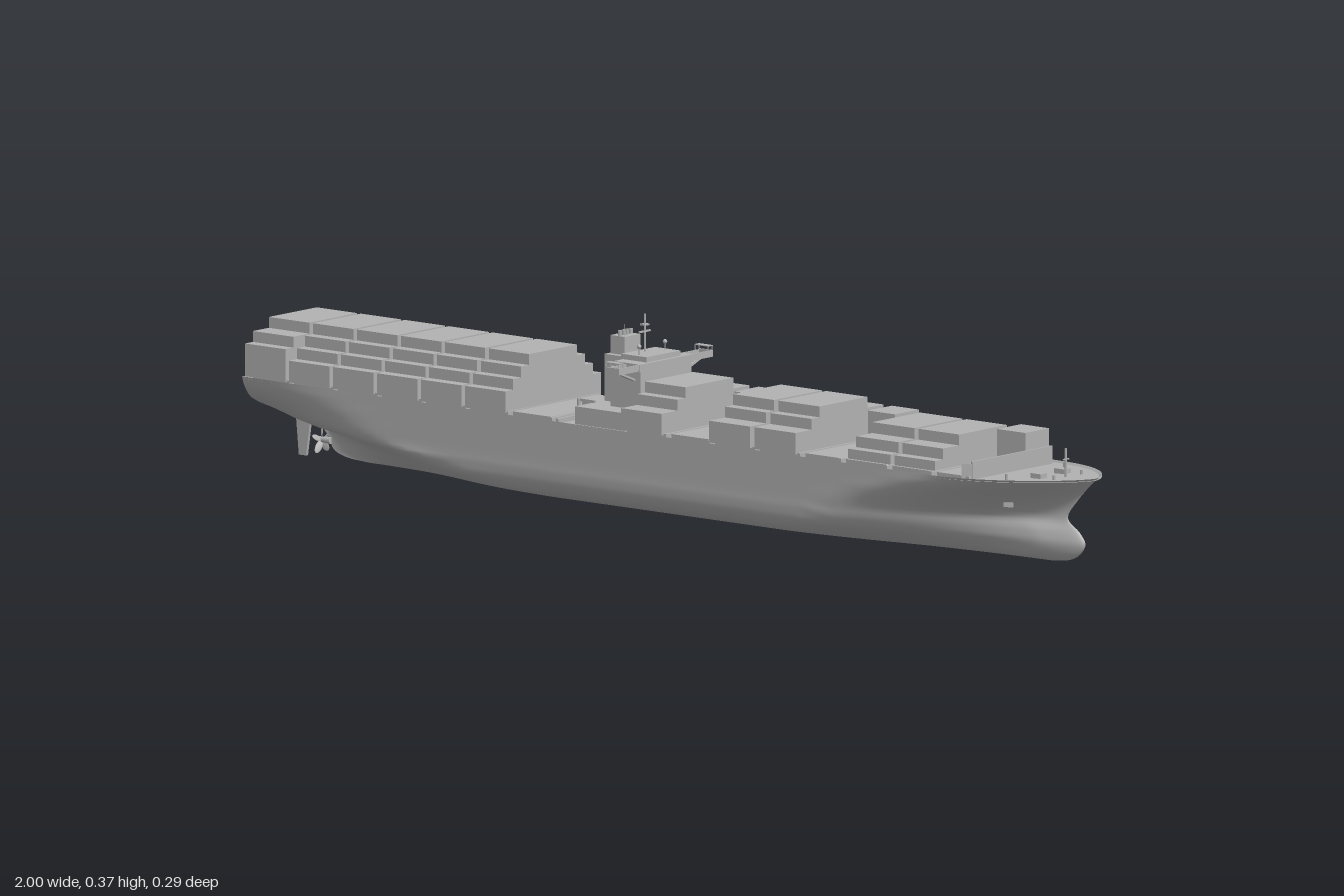
import * as THREE from 'three';

const grey = new THREE.MeshStandardMaterial({ color: 0xb2b2b2, side: THREE.DoubleSide });
grey.name = 'ship grey';

function add(parent, name, geo, x = 0, y = 0, z = 0) {
  const m = new THREE.Mesh(geo, grey);
  m.name = name;
  m.position.set(x, y, z);
  parent.add(m);
  return m;
}

// box given by its limits
function box(parent, name, x0, x1, y0, y1, z0, z1) {
  return add(parent, name, new THREE.BoxGeometry(x1 - x0, y1 - y0, z1 - z0),
    (x0 + x1) / 2, (y0 + y1) / 2, (z0 + z1) / 2);
}

// upright pole
function pole(parent, name, x, y0, y1, z, r = 0.0012) {
  return add(parent, name, new THREE.CylinderGeometry(r, r, y1 - y0, 6), x, (y0 + y1) / 2, z);
}

// surface through rows of points
function grid(rows) {
  const n = rows[0].length, index = [];
  for (let i = 0; i < rows.length - 1; i++) {
    for (let j = 0; j < n - 1; j++) {
      const a = i * n + j, b = a + n;
      index.push(a, b, b + 1, a, b + 1, a + 1);
    }
  }
  const g = new THREE.BufferGeometry().setFromPoints(rows.flat());
  g.setIndex(index);
  g.computeVertexNormals();
  return g;
}

// waterlines: height, stern x, bow x, half beam, transom half width,
// run length and power, entrance length and power, bulb half width
const WATERLINES = [
  [.003, -.80, .900, .055, 0, .36, 1, .38, 1, .004],
  [.008, -.86, .935, .090, 0, .34, 1, .37, 1, .012],
  [.020, -.89, .960, .120, 0, .30, .95, .36, 1, .020],
  [.040, -.90, .973, .137, 0, .25, .85, .33, .95, .023],
  [.060, -.92, .960, .141, 0, .20, .75, .30, .9, .020],
  [.085, -.985, .930, .141, .03, .18, .5, .26, .8, .010],
  [.120, -1, .955, .141, .108, .15, .7, .22, .62, 0],
  [.145, -1, .980, .141, .13, .13, .7, .18, .48, 0],
  [.165, -1, 1, .141, .138, .12, .7, .15, .38, 0],
];

// half breadth at fraction u from stern to bow
function halfBreadth(u, [, , , beam, transom, run, runPow, ent, entPow, bulb]) {
  const ease = (s, p) => THREE.MathUtils.smoothstep(Math.min(1, s) ** p, 0, 1);
  const stern = transom + (beam - transom) * ease(u / run, runPow);
  const bow = beam * ease((1 - u) / ent, entPow);
  return Math.min(stern, Math.hypot(bow, bulb * Math.sqrt(Math.min(1, (1 - u) / 0.05))));
}

function buildHull(ship) {
  const sides = [];
  for (let k = 0; k <= 96; k++) {
    const u = (1 - Math.cos(Math.PI * k / 96)) / 2;
    const section = WATERLINES.map(line => {
      const [y, x0, x1] = line;
      const x = x0 + (x1 - x0) * u;
      const sheer = 0.007 * THREE.MathUtils.smoothstep(x, 0.7, 1) * (y / 0.165);
      return new THREE.Vector3(x, y + sheer, halfBreadth(u, line));
    });
    const pts = new THREE.CatmullRomCurve3(section).getPoints(32);
    pts.forEach(p => { p.z = Math.max(0, p.z); });
    sides.push(pts);
  }
  const flip = p => new THREE.Vector3(p.x, p.y, -p.z);
  add(ship, 'hull', grid(sides.map(s => [...s.map(flip).reverse(), ...s])));
  add(ship, 'transom', grid([sides[0].map(flip), sides[0]]));
  const edge = sides.map(s => new THREE.Vector3(s[32].x, s[32].y - 0.004, s[32].z * 0.995));
  add(ship, 'deck', grid([edge.map(flip), edge]));
}

// one bay of containers: tiers per row, from +z to -z; equal neighbours share a block
function bay(parent, x0, x1, tiers) {
  const w = 0.282 / tiers.length;
  for (let k = 0, end; k < tiers.length; k = end) {
    end = k + 1;
    while (tiers[end] === tiers[k]) end++;
    if (tiers[k]) {
      box(parent, 'containerBlock', x0, x1, 0.167, 0.167 + tiers[k] * 0.0209,
        0.141 - end * w, 0.141 - k * w);
    }
  }
}

function buildCargo(ship) {
  const cargo = new THREE.Group();
  cargo.name = 'cargo';
  ship.add(cargo);
  const full = [3, 4, 4, 5, 5, 5, 5, 5, 5, 4, 4, 3];
  const stair = [2, 3, 4, 5, 5, 5, 5, 5, 5, 4, 3, 2];
  const low = [2, 2, 3, 4, 4, 4, 4, 4, 4, 3, 3, 2];
  const fore = [0, 1, 2, 2, 3, 3, 3, 3, 3, 3, 2, 0];
  const single = [0, 0, 0, 0, 0, 0, 0, 0, 3, 3, 3, 0];
  for (let i = 0; i < 6; i++) {
    const x = -0.99 + i * 0.109;
    bay(cargo, x, x + 0.1, i ? stair : full);
  }
  bay(cargo, -0.058, 0.042, low);
  bay(cargo, 0.065, 0.135, single);
  bay(cargo, 0.16, 0.262, low);
  bay(cargo, 0.272, 0.374, low);
  bay(cargo, 0.395, 0.462, single);
  bay(cargo, 0.485, 0.59, fore);
  bay(cargo, 0.6, 0.7, fore);
  bay(cargo, 0.715, 0.785, single);

  // hatch covers under the bays
  const hatches = [[-0.985, -0.35], [-0.34, -0.245], [-0.058, 0.042], [0.052, 0.15], [0.16, 0.262],
    [0.272, 0.374], [0.384, 0.475], [0.485, 0.59], [0.6, 0.7], [0.71, 0.79]];
  for (const [a, b] of hatches) box(cargo, 'hatchCover', a, b, 0.158, 0.169, -0.124, 0.124);

  // low cross walkways between the bays
  const gaps = [-0.8855, -0.7765, -0.6675, -0.5585, -0.4495, -0.345, -0.235, -0.22,
    0.047, 0.155, 0.267, 0.379, 0.48, 0.595, 0.705];
  for (const x of gaps) box(cargo, 'crossWalkway', x - 0.003, x + 0.003, 0.158, 0.17, -0.137, 0.137);
}

function buildBridge(ship) {
  const g = new THREE.Group();
  g.name = 'bridge';
  ship.add(g);
  box(g, 'lowerHouse', -0.19, -0.066, 0.16, 0.195, -0.12, 0.12);
  box(g, 'aftHouse', -0.215, -0.19, 0.16, 0.195, -0.07, 0.07);
  box(g, 'accommodation', -0.14, -0.066, 0.195, 0.272, -0.075, 0.075);
  box(g, 'bridgeDeck', -0.13, -0.064, 0.268, 0.273, -0.08, 0.08);
  box(g, 'wheelhouse', -0.13, -0.064, 0.273, 0.283, -0.078, 0.078);
  box(g, 'topDeck', -0.135, -0.072, 0.283, 0.293, -0.05, 0.05);
  // bridge wings with parapets, end rails and braces
  for (const s of [-1, 1]) {
    const zs = (a, b) => (s > 0 ? [a, b] : [-b, -a]);
    box(g, 'bridgeWing', -0.1, -0.066, 0.27, 0.274, ...zs(0.075, 0.138));
    box(g, 'wingFront', -0.068, -0.066, 0.274, 0.283, ...zs(0.075, 0.138));
    box(g, 'wingBack', -0.1, -0.098, 0.274, 0.281, ...zs(0.075, 0.138));
    box(g, 'wingEnd', -0.1, -0.066, 0.274, 0.283, ...zs(0.136, 0.138));
    box(g, 'wingRail', -0.1, -0.066, 0.291, 0.2925, ...zs(0.124, 0.138));
    for (const x of [-0.099, -0.067])
      for (const z of [0.125, 0.137]) pole(g, 'wingRailPost', x, 0.274, 0.291, s * z, 0.0008);
    const brace = box(g, 'wingBrace', -0.088, -0.078, -0.002, 0.002, -0.027, 0.027);
    brace.position.set(-0.083, 0.261, s * 0.098);
    brace.rotation.x = -s * 0.38;
    // radomes
    pole(g, 'domePost', -0.1, 0.292, 0.306, s * 0.038);
    add(g, 'radome', new THREE.SphereGeometry(0.0045, 12, 8), -0.1, 0.309, s * 0.038);
  }
  // funnel and its casing
  box(g, 'funnelCasing', -0.188, -0.14, 0.19, 0.285, -0.036, 0.036);
  box(g, 'funnel', -0.184, -0.148, 0.285, 0.32, -0.023, 0.023);
  for (const z of [-0.016, -0.005, 0.005, 0.016]) pole(g, 'exhaustPipe', -0.166, 0.318, 0.33, z, 0.004);
  // masts
  pole(g, 'radarMast', -0.118, 0.292, 0.365, 0, 0.0018);
  box(g, 'mastArm', -0.12, -0.116, 0.33, 0.333, -0.016, 0.016);
  box(g, 'radarBar', -0.124, -0.112, 0.343, 0.346, -0.007, 0.007);
  pole(g, 'aerial', -0.13, 0.292, 0.35, 0.045, 0.0008);
  // deck gear behind the house
  for (const z of [-0.09, 0.09]) {
    pole(g, 'cranePost', -0.205, 0.16, 0.205, z, 0.004);
    box(g, 'craneArm', -0.207, -0.165, 0.2, 0.205, z - 0.002, z + 0.002);
  }
}

function buildDeckGear(ship) {
  box(ship, 'breakwater', 0.789, 0.793, 0.16, 0.197, -0.118, 0.118);
  for (const s of [-1, 1]) {
    const wing = box(ship, 'breakwaterWing', -0.01, 0.01, -0.016, 0.016, -0.0015, 0.0015);
    wing.position.set(0.783, 0.176, s * 0.122);
    wing.rotation.y = s * 0.6;
    box(ship, 'windlass', 0.875, 0.9, 0.162, 0.175, s * 0.035 - 0.01, s * 0.035 + 0.01);
    const anchor = box(ship, 'anchor', -0.009, 0.009, -0.004, 0.004, -0.003, 0.003);
    anchor.position.set(0.83, 0.11, s * 0.056);
    anchor.rotation.y = s * 0.5;
    pole(ship, 'bollard', 0.85, 0.162, 0.176, s * 0.085, 0.003);
    pole(ship, 'bollard', 0.93, 0.162, 0.176, s * 0.04, 0.003);
  }
  pole(ship, 'foreMast', 0.925, 0.163, 0.222, 0, 0.002);
  box(ship, 'foreMastArm', 0.923, 0.927, 0.2, 0.202, -0.008, 0.008);
  pole(ship, 'sternStaff', -0.996, 0.16, 0.2, 0);
}

function buildSteering(ship) {
  // tapered rudder
  const shape = new THREE.Shape([[-0.98, 0.075], [-0.973, 0], [-0.955, 0], [-0.944, 0.075]]
    .map(p => new THREE.Vector2(...p)));
  add(ship, 'rudder', new THREE.ExtrudeGeometry(shape, { depth: 0.006, bevelEnabled: false }), 0, 0, -0.003);
  pole(ship, 'rudderStock', -0.96, 0.07, 0.1, 0, 0.004);
  // propeller
  const prop = new THREE.Group();
  prop.name = 'propeller';
  prop.position.set(-0.918, 0.035, 0);
  ship.add(prop);
  add(prop, 'hub', new THREE.CylinderGeometry(0.005, 0.007, 0.035, 12), 0.006).rotation.z = Math.PI / 2;
  for (let k = 0; k < 5; k++) {
    const arm = new THREE.Group();
    arm.name = 'bladeArm';
    arm.rotation.x = k * Math.PI * 0.4;
    prop.add(arm);
    const blade = add(arm, 'blade', new THREE.SphereGeometry(1, 10, 8), 0, 0.016, 0);
    blade.scale.set(0.0015, 0.014, 0.007);
    blade.rotation.y = 0.6;
  }
}

export function createModel() {
  const ship = new THREE.Group();
  ship.name = 'containerShip';
  buildHull(ship);
  buildCargo(ship);
  buildBridge(ship);
  buildDeckGear(ship);
  buildSteering(ship);
  return ship;
}
